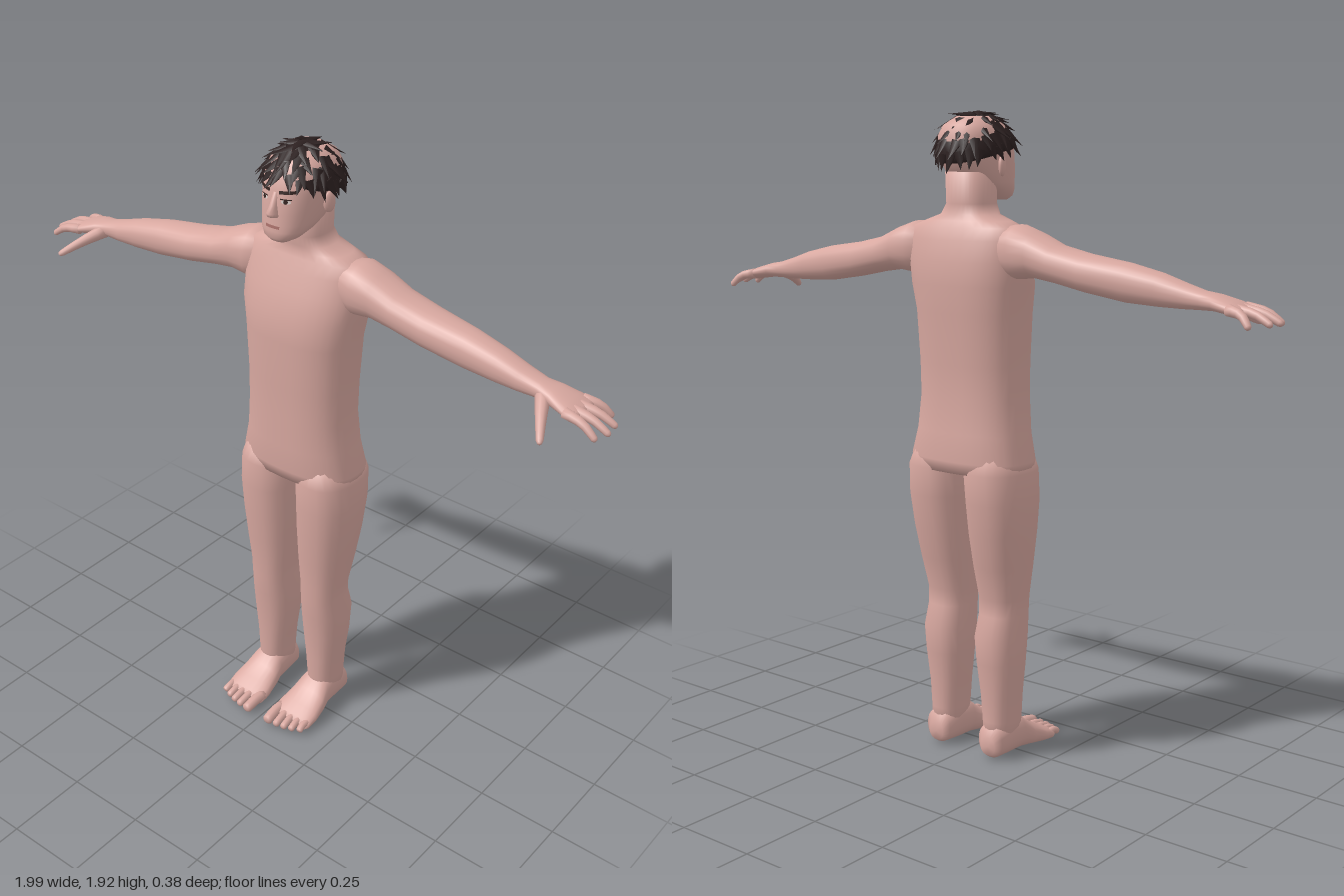
import * as THREE from 'three';
import { mergeGeometries } from 'three/addons/utils/BufferGeometryUtils.js';

const V = (x, y, z) => new THREE.Vector3(x, y, z);
const mat = (name, color, side = THREE.FrontSide) => {
  const m = new THREE.MeshStandardMaterial({ color, side });
  m.name = name;
  return m;
};

// Skin closed rings of points into a capped, smooth surface facing outwards
function skinRings(rings) {
  const n = rings[0].length, last = rings.length - 1;
  const pts = rings.flat(), idx = [];
  for (let i = 0; i < last; i++) for (let j = 0; j < n; j++) {
    const a = i * n + j, b = i * n + (j + 1) % n;
    idx.push(a, b, a + n, b, b + n, a + n);
  }
  for (const [r, flip] of [[0, false], [last, true]]) {
    const c = pts.length;
    pts.push(rings[r].reduce((s, p) => s.add(p), V(0, 0, 0)).divideScalar(n));
    for (let j = 0; j < n; j++) {
      const a = r * n + j, b = r * n + (j + 1) % n;
      idx.push(...(flip ? [a, b, c] : [b, a, c]));
    }
  }
  // turn the faces round if the enclosed volume is negative
  let vol = 0;
  for (let i = 0; i < idx.length; i += 3)
    vol += pts[idx[i]].clone().cross(pts[idx[i + 1]]).dot(pts[idx[i + 2]]);
  if (vol < 0) idx.reverse();
  const g = new THREE.BufferGeometry().setFromPoints(pts);
  g.setIndex(idx);
  g.computeVertexNormals();
  return g;
}

// Rounded sections [t, a0, a1, b0, b1] placed by a function of (t, a, b)
function loft(sections, place, power = 2.3, n = 24) {
  const p = v => Math.sign(v) * Math.abs(v) ** (2 / power);
  return skinRings(sections.map(([t, a0, a1, b0, b1]) => Array.from({ length: n }, (_, j) => {
    const w = j / n * Math.PI * 2;
    return place(t, (a0 + a1) / 2 + (a1 - a0) / 2 * p(Math.cos(w)), (b0 + b1) / 2 + (b1 - b0) / 2 * p(Math.sin(w)));
  })));
}

// Round tapering digit along a path, with a rounded tip
function digit(points, r0, r1) {
  const curve = new THREE.CatmullRomCurve3(points), rings = [];
  for (const t of [0, 0.2, 0.4, 0.6, 0.8, 0.93, 0.98, 1]) {
    const c = curve.getPointAt(t), d = curve.getTangentAt(t);
    const u = V(0, 1, 0).cross(d).normalize(), v = d.clone().cross(u);
    const r = (r0 + (r1 - r0) * t) * (t === 1 ? 0.35 : t > 0.95 ? 0.75 : 1);
    rings.push(Array.from({ length: 10 }, (_, j) => {
      const w = j / 10 * Math.PI * 2;
      return c.clone().addScaledVector(u, Math.cos(w) * r).addScaledVector(v, Math.sin(w) * r);
    }));
  }
  return skinRings(rings);
}

// y, half width, front z, back z
const TORSO = [
  [0.885, 0.193, 0.052, -0.178], [0.92, 0.2, 0.06, -0.185], [1.0, 0.18, 0.06, -0.176], [1.1, 0.172, 0.06, -0.167],
  [1.2, 0.173, 0.06, -0.17], [1.35, 0.18, 0.065, -0.18], [1.43, 0.194, 0.06, -0.187], [1.5, 0.2, 0.037, -0.184],
  [1.56, 0.2, 0.016, -0.172], [1.595, 0.188, 0, -0.16], [1.613, 0.14, -0.005, -0.15], [1.63, 0.088, -0.005, -0.142],
  [1.66, 0.068, 0, -0.137], [1.75, 0.068, 0, -0.142]];
const HEAD = [
  [1.668, 0.03, 0.075, 0.03], [1.68, 0.052, 0.085, -0.01], [1.7, 0.069, 0.086, -0.06], [1.72, 0.077, 0.083, -0.1],
  [1.75, 0.085, 0.081, -0.137], [1.78, 0.09, 0.077, -0.156], [1.81, 0.093, 0.072, -0.165], [1.85, 0.093, 0.062, -0.166],
  [1.88, 0.08, 0.04, -0.15], [1.905, 0.05, 0, -0.11]];
const wide = rows => rows.map(([y, h, f, b]) => [y, -h, h, b, f]);

// Front surface of the head at (x, y)
function faceZ(x, y) {
  const i = Math.max(1, HEAD.findIndex(r => r[0] >= y));
  const k = (y - HEAD[i - 1][0]) / (HEAD[i][0] - HEAD[i - 1][0]);
  const [, h, f, b] = HEAD[i].map((v, j) => HEAD[i - 1][j] + (v - HEAD[i - 1][j]) * k);
  return (f + b) / 2 + (f - b) / 2 * (1 - Math.min(1, Math.abs(x / h)) ** 2.3) ** (1 / 2.3);
}
// Thin flat shape laid onto the face
function onFace(geo, x, y, tilt, lift) {
  geo.rotateZ(tilt).translate(x, y, 0);
  const p = geo.attributes.position;
  for (let i = 0; i < p.count; i++) p.setZ(i, faceZ(p.getX(i), p.getY(i)) + lift);
  geo.computeVertexNormals();
  return geo;
}

// Hair: a shaggy cap of flattened locks over a dome
function hairGeometry() {
  let seed = 7;
  const rnd = () => (seed = (seed * 16807) % 2147483647) / 2147483647;
  const C = V(0, 1.8, -0.05), R = V(0.106, 0.115, 0.122);
  const at = (a, e) => V(Math.sin(a) * Math.cos(e) * R.x, Math.sin(e) * R.y, Math.cos(a) * Math.cos(e) * R.z).add(C);
  const edge = a => 0.06 + 0.3 * Math.max(0, Math.cos(a)) ** 2 - 0.3 * Math.max(0, -Math.cos(a));
  const n = 32, rings = [];
  for (let i = 0; i <= 8; i++)
    rings.push(Array.from({ length: n }, (_, j) => {
      const a = j / n * Math.PI * 2, e0 = edge(a);
      return at(a, e0 + (1.5 - e0) * i / 8);
    }));
  const parts = [skinRings(rings)];
  const rows = [[0.08, 24, 0.055], [0.35, 20, 0.065], [0.65, 16, 0.07], [0.95, 11, 0.07], [1.25, 7, 0.06]];
  for (const [e, count, len] of rows) for (let k = 0; k < count; k++) {
    const a = (k + rnd() * 0.7) / count * Math.PI * 2;
    const el = edge(a) + (1.5 - edge(a)) * e / 1.5 + rnd() * 0.08;
    const base = at(a, el), normal = base.clone().sub(C).divide(R).divide(R).normalize();
    const down = at(a, el - 0.05).sub(base).normalize();
    const side = normal.clone().cross(down);
    const dir = down.addScaledVector(normal, 0.12 + rnd() * 0.25).addScaledVector(side, (rnd() - 0.5) * 0.9).normalize();
    const x = dir.clone().cross(normal).normalize(), z = x.clone().cross(dir);
    const l = len * (0.75 + rnd() * 0.4);
    const lock = new THREE.ConeGeometry(0.019, l, 6).scale(1, 1, 0.4).translate(0, l * 0.25, 0);
    parts.push(lock.applyMatrix4(new THREE.Matrix4().makeBasis(x, dir, z).setPosition(base)));
  }
  parts.forEach(g => g.deleteAttribute('uv'));
  return mergeGeometries(parts);
}

export function createModel() {
  const group = new THREE.Group();
  const skin = mat('skin', 0xd8a8a0), hair = mat('hair', 0x2c2020);
  const white = mat('eye white', 0xd9cfca, THREE.DoubleSide), lip = mat('lips', 0xa8706a, THREE.DoubleSide);
  const dark = mat('brow and iris', 0x33221f, THREE.DoubleSide);
  const add = (name, geo, m = skin) => {
    const mesh = new THREE.Mesh(geo, m);
    mesh.name = name;
    group.add(mesh);
  };

  add('torso and neck', loft(wide(TORSO), (y, x, z) => V(x, y, z), 2.5, 36));
  add('head', loft(wide(HEAD), (y, x, z) => V(x, y, z), 2.3, 32));
  add('hair', hairGeometry(), hair);
  add('nose', loft([[1.74, -0.014, 0.014, 0.06, 0.086], [1.745, -0.018, 0.018, 0.06, 0.098], [1.755, -0.016, 0.016, 0.06, 0.103],
    [1.775, -0.011, 0.011, 0.06, 0.091], [1.81, -0.009, 0.009, 0.05, 0.075]], (y, x, z) => V(x, y, z), 2, 14));
  add('mouth', onFace(new THREE.PlaneGeometry(0.046, 0.008, 8, 1), 0, 1.714, 0, 0.002), lip);

  for (const s of [1, -1]) {
    const side = s > 0 ? 'left ' : 'right ';
    // face
    add(side + 'eye', onFace(new THREE.CircleGeometry(0.013, 16).scale(1, 0.45, 1), s * 0.036, 1.789, 0, 0.002), white);
    add(side + 'iris', onFace(new THREE.CircleGeometry(0.006, 12), s * 0.036, 1.789, 0, 0.003), dark);
    add(side + 'eyelid', onFace(new THREE.PlaneGeometry(0.03, 0.003, 6, 1), s * 0.036, 1.796, 0, 0.004), dark);
    add(side + 'brow', onFace(new THREE.PlaneGeometry(0.044, 0.009, 8, 1), s * 0.038, 1.815, s * 0.1, 0.004), dark);
    add(side + 'ear', new THREE.SphereGeometry(1, 16, 12).scale(0.01, 0.031, 0.019).rotateY(s * -0.35).translate(s * 0.093, 1.768, -0.045));

    // arm and palm: x, back z, front z, bottom y, top y
    add(side + 'arm', loft([
      [0.12, -0.14, -0.01, 1.47, 1.6], [0.19, -0.158, 0, 1.453, 1.607], [0.25, -0.155, -0.005, 1.46, 1.587],
      [0.32, -0.15, -0.01, 1.45, 1.556], [0.42, -0.144, -0.012, 1.43, 1.535], [0.55, -0.13, -0.02, 1.41, 1.517],
      [0.65, -0.118, -0.023, 1.405, 1.495], [0.72, -0.11, -0.027, 1.404, 1.473], [0.78, -0.104, -0.033, 1.405, 1.456],
      [0.82, -0.113, -0.022, 1.405, 1.45], [0.87, -0.124, -0.008, 1.398, 1.436], [0.9, -0.126, -0.006, 1.394, 1.423],
      [0.91, -0.118, -0.012, 1.398, 1.416]], (x, z, y) => V(s * x, y, z)));
    // fingers and thumb: base z, tip x, tip y, tip z
    for (const [z, tx, ty, tz] of [[-0.02, 0.978, 1.376, -0.006], [-0.05, 0.995, 1.38, -0.046], [-0.08, 0.99, 1.38, -0.092], [-0.11, 0.952, 1.374, -0.14]])
      add(side + 'finger', digit([V(s * 0.875, 1.415, z), V(s * (0.89 + tx) / 2, 1.405, (z + tz) / 2), V(s * tx, ty, tz)], 0.016, 0.009));
    add(side + 'thumb', digit([V(s * 0.79, 1.425, -0.055), V(s * 0.825, 1.402, 0.01), V(s * 0.868, 1.367, 0.083)], 0.022, 0.009));

    // leg: y, inner x, outer x, back z, front z
    add(side + 'leg', loft([
      [0.95, 0.03, 0.18, -0.16, 0.04], [0.89, 0.009, 0.2, -0.182, 0.058], [0.8, 0.012, 0.204, -0.175, 0.058],
      [0.7, 0.015, 0.196, -0.16, 0.053], [0.6, 0.02, 0.184, -0.138, 0.045], [0.5, 0.028, 0.17, -0.113, 0.036],
      [0.45, 0.03, 0.167, -0.116, 0.036], [0.38, 0.026, 0.171, -0.135, 0.03], [0.3, 0.03, 0.168, -0.127, 0.022],
      [0.2, 0.042, 0.157, -0.116, 0.016], [0.12, 0.05, 0.151, -0.114, 0.015], [0.05, 0.052, 0.15, -0.112, 0.012]],
    (y, x, z) => V(s * x, y, z)));
    // foot: z, inner x, outer x, bottom y, top y
    add(side + 'foot', loft([
      [-0.122, 0.075, 0.128, 0.02, 0.075], [-0.108, 0.057, 0.147, 0.01, 0.11], [-0.05, 0.048, 0.152, 0.008, 0.135],
      [0, 0.043, 0.155, 0.01, 0.125], [0.04, 0.033, 0.165, 0.009, 0.09], [0.09, 0.024, 0.172, 0.006, 0.063],
      [0.125, 0.024, 0.17, 0.005, 0.047], [0.138, 0.032, 0.162, 0.01, 0.038]], (z, x, y) => V(s * x, y, z)));
    // toes: x, tip z, radius
    for (const [x, tz, r] of [[0.042, 0.188, 0.018], [0.075, 0.185, 0.013], [0.102, 0.18, 0.0125], [0.128, 0.172, 0.012], [0.154, 0.16, 0.012]])
      add(side + 'toe', digit([V(s * x, 0.03, 0.1), V(s * x, 0.033, 0.14), V(s * (x + 0.002), 0.024, tz)], r, r * 0.9));
  }
  return group;
}
